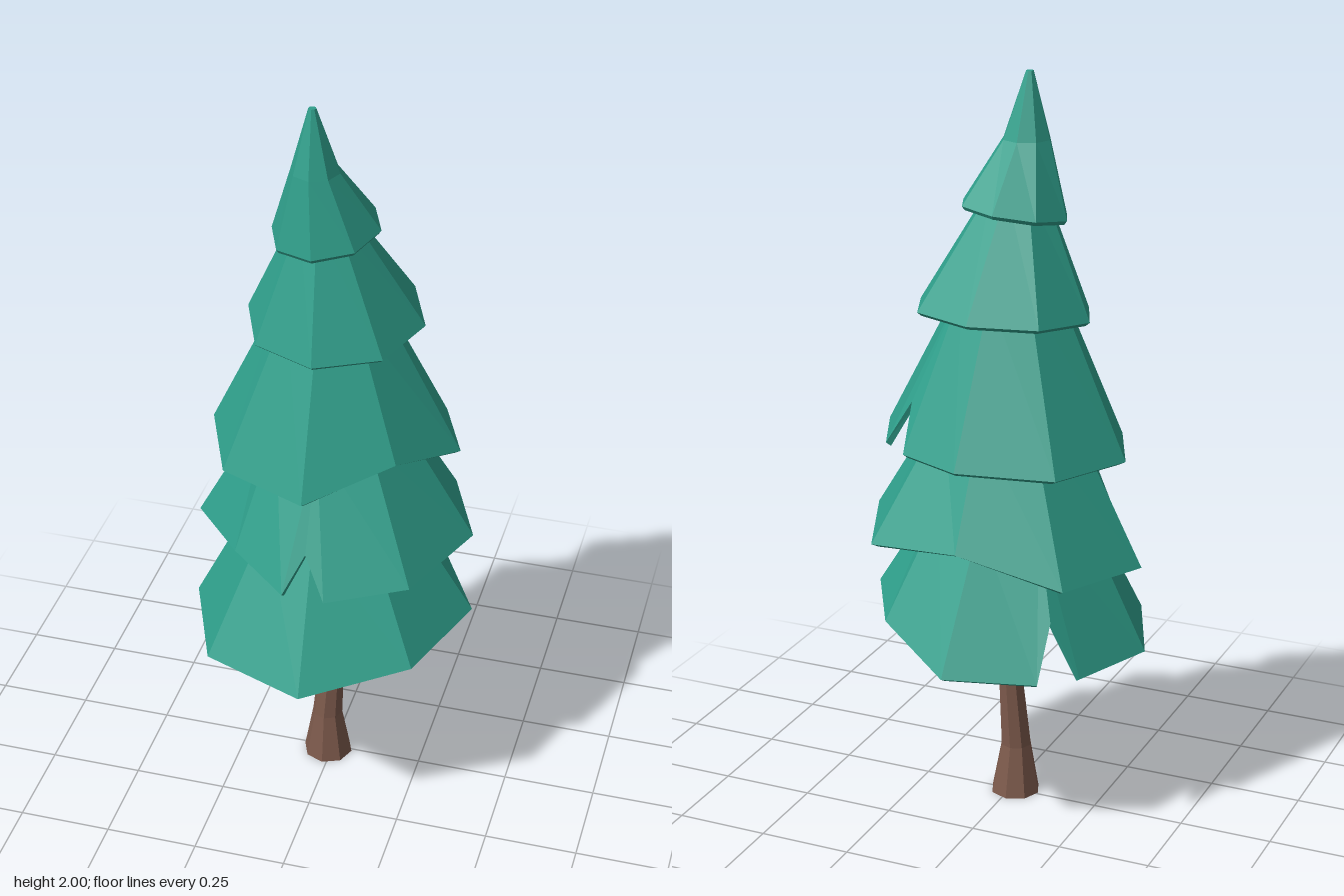
import * as THREE from 'three';

const SIDES = 8;

// Point on an eight-sided ring; corner 0 faces the front, corner 2 faces +x.
function ringPoint({ y, r, x = 0, z = 0 }, k) {
  const a = (k / SIDES) * Math.PI * 2;
  return new THREE.Vector3(x + r * Math.sin(a), y, z + r * Math.cos(a));
}

// Joins a chain of equally long point loops (from top to bottom) with flat faces.
function skin(loops) {
  const pos = [];
  const tri = (a, b, c) => {
    const area = b.clone().sub(a).cross(c.clone().sub(a)).length();
    if (area > 1e-9) for (const p of [a, b, c]) pos.push(p.x, p.y, p.z);
  };
  for (let j = 0; j < loops.length - 1; j++) {
    const up = loops[j], low = loops[j + 1], n = up.length;
    for (let i = 0; i < n; i++) {
      const m = (i + 1) % n;
      tri(up[i], low[i], low[m]);
      tri(up[i], low[m], up[m]);
    }
  }
  const g = new THREE.BufferGeometry();
  g.setAttribute('position', new THREE.Float32BufferAttribute(pos, 3));
  g.computeVertexNormals();
  return g;
}

// Hollow skirt of branches. Each rim entry is [corner, x, y, z];
// a corner listed three times makes a notch.
function skirt(rings, rim) {
  const corners = rim.map((p) => p[0]);
  const edge = rim.map(([, x, y, z]) => new THREE.Vector3(x, y, z));
  const mid = new THREE.Vector3();
  edge.forEach((p) => mid.addScaledVector(p, 1 / edge.length));
  const underEdge = edge.map((p) => new THREE.Vector3(
    mid.x + (p.x - mid.x) * 0.95, p.y - 0.01, mid.z + (p.z - mid.z) * 0.95));
  const loop = (ring) => corners.map((k) => ringPoint(ring, k));
  const inner = rings.map((r) => ({ ...r, r: r.r * 0.88, y: r.y - 0.02 })).reverse();
  return skin([
    loop({ ...rings[0], r: 0 }),
    ...rings.map(loop),
    edge,
    underEdge,
    ...inner.map(loop),
    loop({ ...inner[inner.length - 1], r: 0 }),
  ]);
}

// Regular rim, tilted by the given rise towards +x and towards the back.
function tiltedRim({ x, y, z, r }, riseX, riseBack) {
  return Array.from({ length: SIDES }, (_, k) => {
    const p = ringPoint({ x, y, z, r }, k);
    return [k, p.x, y + riseX * (p.x - x) / r - riseBack * (p.z - z) / r, p.z];
  });
}

export function createModel() {
  const foliage = new THREE.MeshStandardMaterial({ color: 0x2f9f8b });
  foliage.name = 'foliageGreen';
  const bark = new THREE.MeshStandardMaterial({ color: 0x7d5a4c });
  bark.name = 'barkBrown';

  const tree = new THREE.Group();
  tree.name = 'pineTree';
  const add = (name, geometry, material) => {
    const mesh = new THREE.Mesh(geometry, material);
    mesh.name = name;
    tree.add(mesh);
  };

  // Trunk: flared foot, slight lean
  const trunkRings = [
    { y: 0.84, r: 0, x: 0.014, z: -0.005 },
    { y: 0.84, r: 0.021, x: 0.014, z: -0.005 },
    { y: 0.5, r: 0.027, x: 0.01, z: -0.003 },
    { y: 0.14, r: 0.042, x: -0.013, z: 0.01 },
    { y: 0, r: 0.068, x: -0.012, z: 0.008 },
    { y: 0, r: 0, x: -0.012, z: 0.008 },
  ];
  add('trunk', skin(trunkRings.map((ring) =>
    Array.from({ length: SIDES }, (_, k) => ringPoint(ring, k)))), bark);

  // Branch skirts from bottom to top
  add('bottomBranches', skirt([{ y: 0.86, r: 0.2 }], [
    [0, 0.015, 0.495, 0.4],
    [1, 0.284, 0.545, 0.26],
    [2, 0.385, 0.565, -0.008],
    [3, 0.24, 0.57, -0.27],
    [4, 0.017, 0.5, -0.404],
    [5, -0.21, 0.485, -0.31],
    [5, -0.215, 0.63, -0.235],
    [5, -0.295, 0.485, -0.23],
    [6, -0.387, 0.485, 0],
    [7, -0.27, 0.485, 0.282],
  ]), foliage);

  add('lowerBranches', skirt([{ y: 1.13, r: 0.175, z: -0.02 }], [
    [0, 0.062, 0.76, 0.32],
    [1, 0.27, 0.79, 0.243],
    [2, 0.378, 0.8, -0.02],
    [3, 0.273, 0.785, -0.278],
    [4, 0.0, 0.825, -0.35],
    [5, -0.27, 0.745, -0.289],
    [6, -0.385, 0.735, -0.032],
    [7, -0.21, 0.795, 0.207],
    [0, -0.051, 0.76, 0.316],
    [0, 0.0, 0.865, 0.27],
  ]), foliage);

  add('middleBranches', skirt([{ y: 1.46, r: 0.13, x: -0.013, z: -0.03 }], [
    [0, -0.009, 1.02, 0.273],
    [1, 0.207, 1.105, 0.154],
    [2, 0.333, 1.05, -0.036],
    [3, 0.254, 1.05, -0.22],
    [3, 0.18, 1.17, -0.215],
    [3, 0.173, 1.05, -0.286],
    [4, -0.004, 1.05, -0.361],
    [5, -0.244, 1.035, -0.278],
    [6, -0.346, 1.03, -0.058],
    [7, -0.248, 1.02, 0.173],
  ]), foliage);

  add('upperBranches', skirt([{ y: 1.71, r: 0.07, x: -0.025, z: -0.01 }],
    tiltedRim({ x: -0.008, y: 1.393, z: -0.057, r: 0.235 }, 0.006, 0.02)), foliage);

  add('topBranches', skirt([
    { y: 2, r: 0.01, x: -0.05, z: 0.007 },
    { y: 1.83, r: 0.063, x: -0.045, z: 0 },
  ], tiltedRim({ x: -0.028, y: 1.652, z: -0.036, r: 0.142 }, 0.015, 0.016)), foliage);

  return tree;
}
